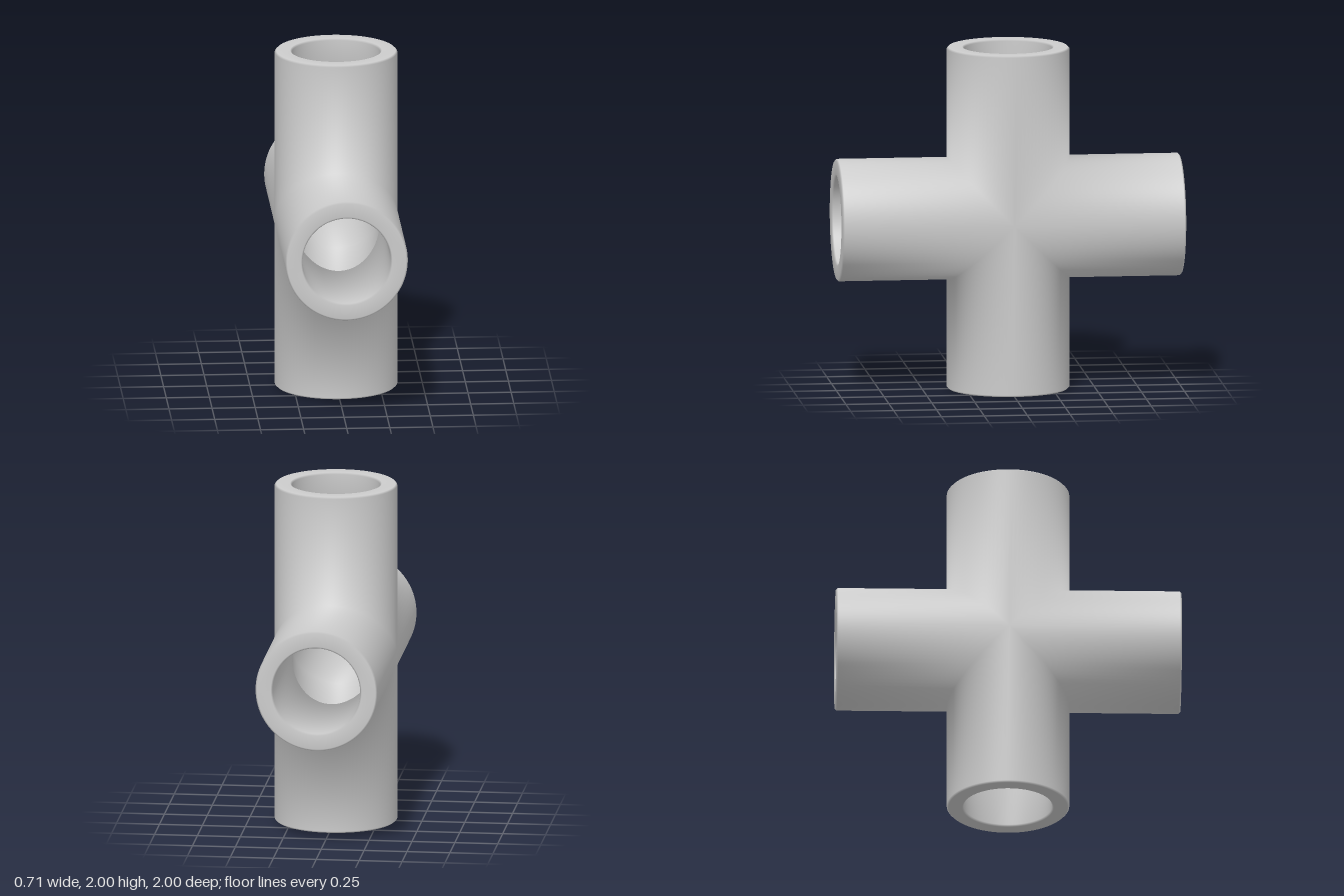
import * as THREE from 'three';
import { mergeGeometries, mergeVertices } from 'three/addons/utils/BufferGeometryUtils.js';

const OUTER = 0.355, INNER = 0.255, BEVEL = 0.01, SEGMENTS = 96;

// One hollow arm along +y, mitred at its base so four of them meet exactly.
function armGeometry() {
  // [radius, height]; a null height lies on the mitre y = |z|
  const rings = [
    [OUTER, null], [OUTER, 1 - BEVEL], [OUTER - BEVEL, 1],
    [INNER + BEVEL, 1], [INNER, 1 - BEVEL], [INNER, null],
  ];
  const positions = [], index = [];
  for (const [radius, height] of rings) {
    for (let j = 0; j < SEGMENTS; j++) {
      const t = (j / SEGMENTS) * Math.PI * 2;
      const z = radius * Math.sin(t);
      positions.push(radius * Math.cos(t), height ?? Math.abs(z), z);
    }
  }
  for (let i = 0; i < rings.length - 1; i++) {
    for (let j = 0; j < SEGMENTS; j++) {
      const k = (j + 1) % SEGMENTS;
      const a = i * SEGMENTS + j, b = i * SEGMENTS + k;
      const c = a + SEGMENTS, d = b + SEGMENTS;
      index.push(a, c, b, b, c, d);
    }
  }
  const geometry = new THREE.BufferGeometry();
  geometry.setAttribute('position', new THREE.Float32BufferAttribute(positions, 3));
  geometry.setIndex(index);
  return geometry;
}

export function createModel() {
  const group = new THREE.Group();
  group.name = 'crossPipeFitting';

  const grey = new THREE.MeshStandardMaterial({ color: 0xcccccc });
  grey.name = 'lightGrey';

  // Four arms: up, front, down, back, welded for a soft blend at the joints
  const arms = [];
  for (let i = 0; i < 4; i++) arms.push(armGeometry().rotateX((i * Math.PI) / 2));
  const geometry = mergeVertices(mergeGeometries(arms), 1e-4);
  geometry.computeVertexNormals();

  const pipe = new THREE.Mesh(geometry, grey);
  pipe.name = 'crossPipe';
  pipe.position.y = 1;
  group.add(pipe);
  return group;
}
